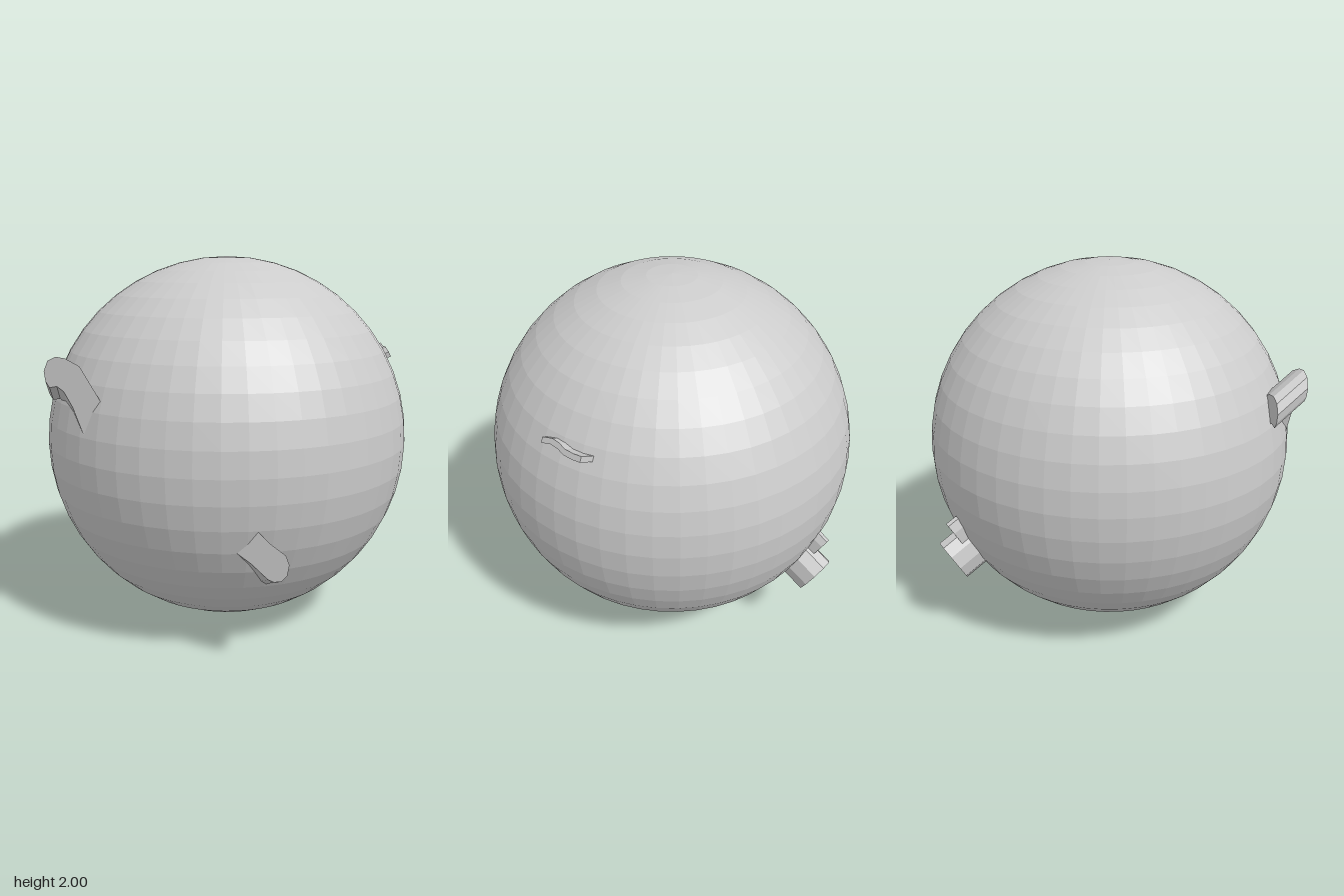
import * as THREE from 'three';

const material = new THREE.MeshStandardMaterial({ color: 0xcccccc, flatShading: true });
const toPoints = (list) => list.map(([x, y]) => new THREE.Vector2(x, y));

function addMesh(parent, name, geometry) {
  const mesh = new THREE.Mesh(geometry, material);
  mesh.name = name;
  parent.add(mesh);
  return mesh;
}

function extrude(shape, depth) {
  return new THREE.ExtrudeGeometry(shape, { depth, bevelEnabled: false, curveSegments: 5 })
    .translate(0, 0, -depth);
}

// Front stroke: flat cap at z = 0.87, body slanting back, left and down
function slantedStroke(list) {
  const shear = new THREE.Matrix4().set(
    1, 0, 0.46, 0,
    0, 1, 0.5, 0,
    0, 0, 1, 0.87,
    0, 0, 0, 1);
  return extrude(new THREE.Shape(toPoints(list)), 0.19).applyMatrix4(shear);
}

// Stand a mesh on the ball: its +z points outward, its +y uphill
function placeOnBall(mesh, direction, distance) {
  const out = new THREE.Vector3(...direction).normalize();
  const right = new THREE.Vector3(0, 1, 0).cross(out).normalize();
  const uphill = out.clone().cross(right);
  mesh.quaternion.setFromRotationMatrix(new THREE.Matrix4().makeBasis(right, uphill, out));
  mesh.position.copy(out).multiplyScalar(distance);
  mesh.position.y += 1;
}

// Outline of an ellipse
function ellipsePath(Type, x, y, rx, ry) {
  const path = new Type();
  path.absellipse(x, y, rx, ry, 0, Math.PI * 2);
  return path;
}

export function createModel() {
  const model = new THREE.Group();
  model.name = 'ball';

  // Faceted ball
  addMesh(model, 'ballBody', new THREE.SphereGeometry(1, 48, 24).translate(0, 1, 0));

  // Curled stroke end, upper front
  addMesh(model, 'upperFrontHook', slantedStroke([
    [-0.66, 1.40], [-0.667, 1.45], [-0.645, 1.5], [-0.6, 1.522], [-0.55, 1.515],
    [-0.475, 1.48], [-0.38, 1.33], [-0.3, 1.2], [-0.4, 1.02], [-0.465, 1.14],
    [-0.52, 1.28], [-0.565, 1.355], [-0.6, 1.378], [-0.64, 1.37],
  ]));

  // Rounded stroke end, lower front
  addMesh(model, 'lowerFrontHook', slantedStroke([
    [0.41, 0.74], [0.47, 0.685], [0.545, 0.635], [0.562, 0.59], [0.552, 0.535], [0.525, 0.505],
    [0.49, 0.497], [0.46, 0.507], [0.38, 0.575], [0.31, 0.62], [0.24, 0.72], [0.32, 0.8],
  ]));

  // Thin wavy ridge on the side
  const wave = [[-0.135, 0], [-0.07, 0.016], [-0.02, 0.012], [0.03, -0.002], [0.09, -0.002], [0.14, 0.004]];
  const upper = wave.map(([x, y]) => [x, y + 0.015]);
  const lower = wave.map(([x, y]) => [x, y - 0.015]).reverse();
  const ridge = addMesh(model, 'sideRidge', extrude(new THREE.Shape(toPoints([...upper, ...lower])), 0.1));
  placeOnBall(ridge, [0.815, 0.456, -0.36], 1.04);
  ridge.rotateY(-0.17);

  // Loop with a slot, lower back
  const backDirection = [-0.29, -0.48, -0.83];
  const loop = ellipsePath(THREE.Shape, 0.015, 0.025, 0.095, 0.13);
  loop.holes.push(ellipsePath(THREE.Path, 0.015, 0.03, 0.03, 0.065));
  placeOnBall(addMesh(model, 'backLoop', extrude(loop, 0.25)), backDirection, 1.12);

  // Low tail running uphill from the loop
  const tail = new THREE.Shape(toPoints([
    [0.0, 0.1], [0.075, 0.1], [0.08, 0.2], [0.065, 0.25], [0.04, 0.255], [0.02, 0.22],
  ]));
  placeOnBall(addMesh(model, 'backTail', extrude(tail, 0.15)), backDirection, 1.03);

  return model;
}
